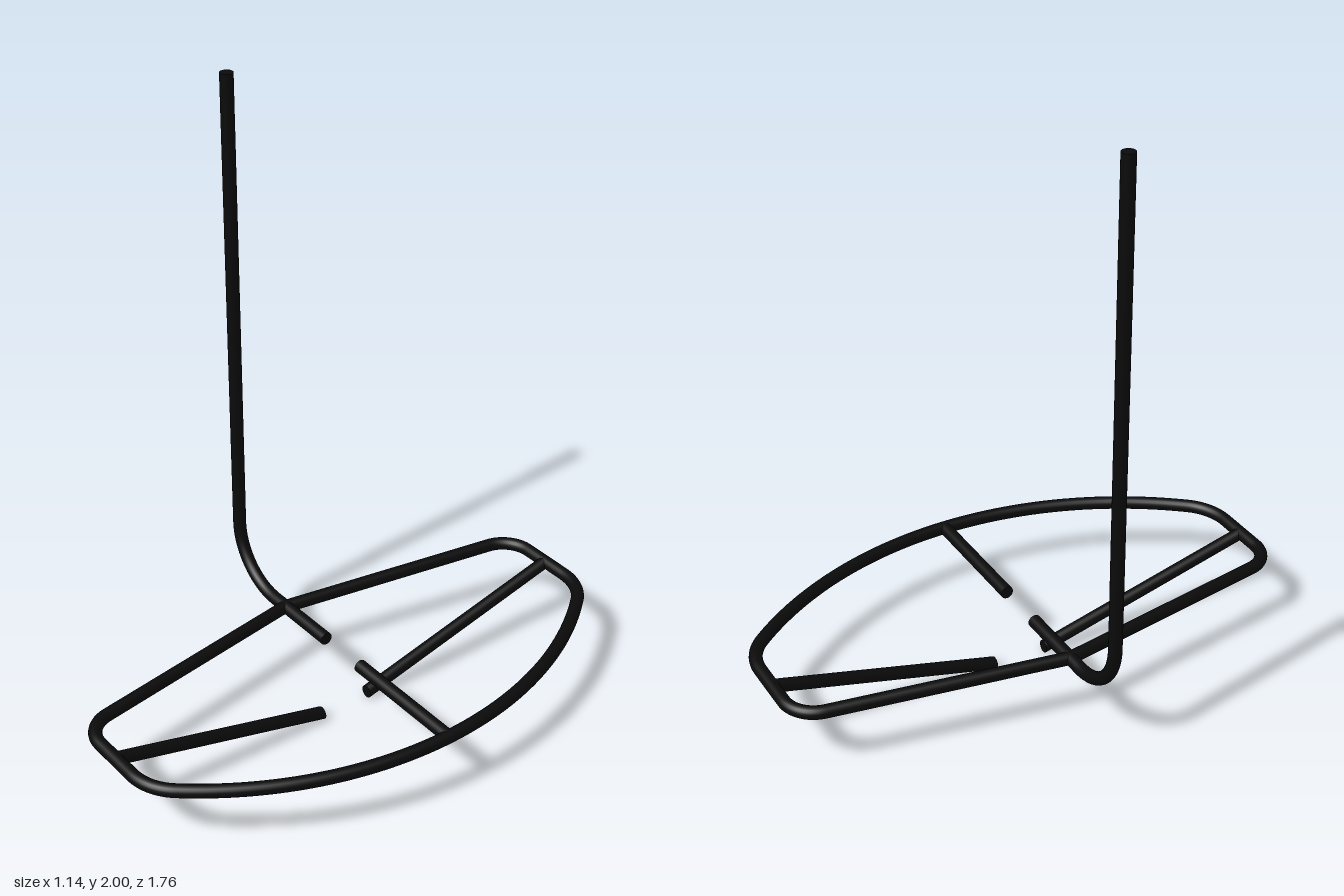
import * as THREE from 'three';

const R = 0.0215;     // bar radius
const LEVEL = 0.218;  // height of the ring
const SIDES = 20;

// Lifts a 2D path into space so that a tube can follow it
class PathCurve extends THREE.Curve {
  constructor(path, place) {
    super();
    this.path = path;
    this.place = place;
  }
  getPoint(t, target = new THREE.Vector3()) {
    const p = this.path.getPoint(t);
    return target.set(...this.place(p.x, p.y));
  }
}

export function createModel() {
  const model = new THREE.Group();
  const material = new THREE.MeshStandardMaterial({ color: 0x0a0a0a });
  const add = (name, geometry) => {
    const mesh = new THREE.Mesh(geometry, material);
    mesh.name = name;
    model.add(mesh);
    return mesh;
  };

  // Post that bends into the rear arm
  const postPath = new THREE.Path();
  postPath.moveTo(-0.55, 2);
  postPath.lineTo(-0.55, LEVEL + 0.2);
  postPath.absarc(-0.35, LEVEL + 0.2, 0.2, Math.PI, 1.5 * Math.PI, false);
  postPath.lineTo(-0.068, LEVEL);
  const postCurve = new PathCurve(postPath, (x, y) => [x, y, 0]);
  add('post', new THREE.TubeGeometry(postCurve, 160, R, SIDES));
  add('postTopCap', new THREE.CircleGeometry(R, SIDES).rotateX(-Math.PI / 2)).position.set(-0.55, 2, 0);
  add('postEndCap', new THREE.CircleGeometry(R, SIDES).rotateY(Math.PI / 2)).position.set(-0.068, LEVEL, 0);

  // Front arm, from near the middle to the ring
  add('frontArm', new THREE.CylinderGeometry(R, R, 0.44, SIDES).rotateZ(Math.PI / 2)).position.set(0.33, LEVEL, 0);

  // Half outline of the ring: straight back, rounded corners, large front arc
  const bigR = 1.23, cornerR = 0.18, backR = 0.107, edge = 0.858;
  const bigX = 0.55 - bigR;
  const cornerZ = edge - cornerR;
  const cornerAngle = Math.asin(cornerZ / (bigR - cornerR));
  const cornerX = bigX + Math.cos(cornerAngle) * (bigR - cornerR);
  const backX = -0.056, backZ = edge - backR, backAngle = Math.PI + 0.169;
  const outline = new THREE.Path();
  outline.moveTo(-0.292, 0);
  outline.lineTo(backX + backR * Math.cos(backAngle), -backZ + backR * Math.sin(backAngle));
  outline.absarc(backX, -backZ, backR, backAngle, 1.5 * Math.PI, false);
  outline.absarc(cornerX, -cornerZ, cornerR, -Math.PI / 2, -cornerAngle, false);
  outline.absarc(bigX, 0, bigR, -cornerAngle, 0, false);

  const inner = 0.09, low = 0.022;
  const length = edge - inner;
  for (const [side, s] of [['left', 1], ['right', -1]]) {
    const curve = new PathCurve(outline, (x, z) => [x, LEVEL, -s * z]);
    add(side + 'RingHalf', new THREE.TubeGeometry(curve, 200, R, SIDES));

    // Sloping strut with upright end cuts: a level bar whose height rises outwards
    const strut = new THREE.CylinderGeometry(R, R, length, SIDES).rotateX(Math.PI / 2);
    const pos = strut.attributes.position;
    const slope = s * (LEVEL - low) / length;
    for (let i = 0; i < pos.count; i++) pos.setY(i, pos.getY(i) + slope * pos.getZ(i));
    strut.computeVertexNormals();
    add(side + 'Strut', strut).position.set(0.03, (LEVEL + low) / 2, s * (inner + edge) / 2);
  }
  return model;
}
